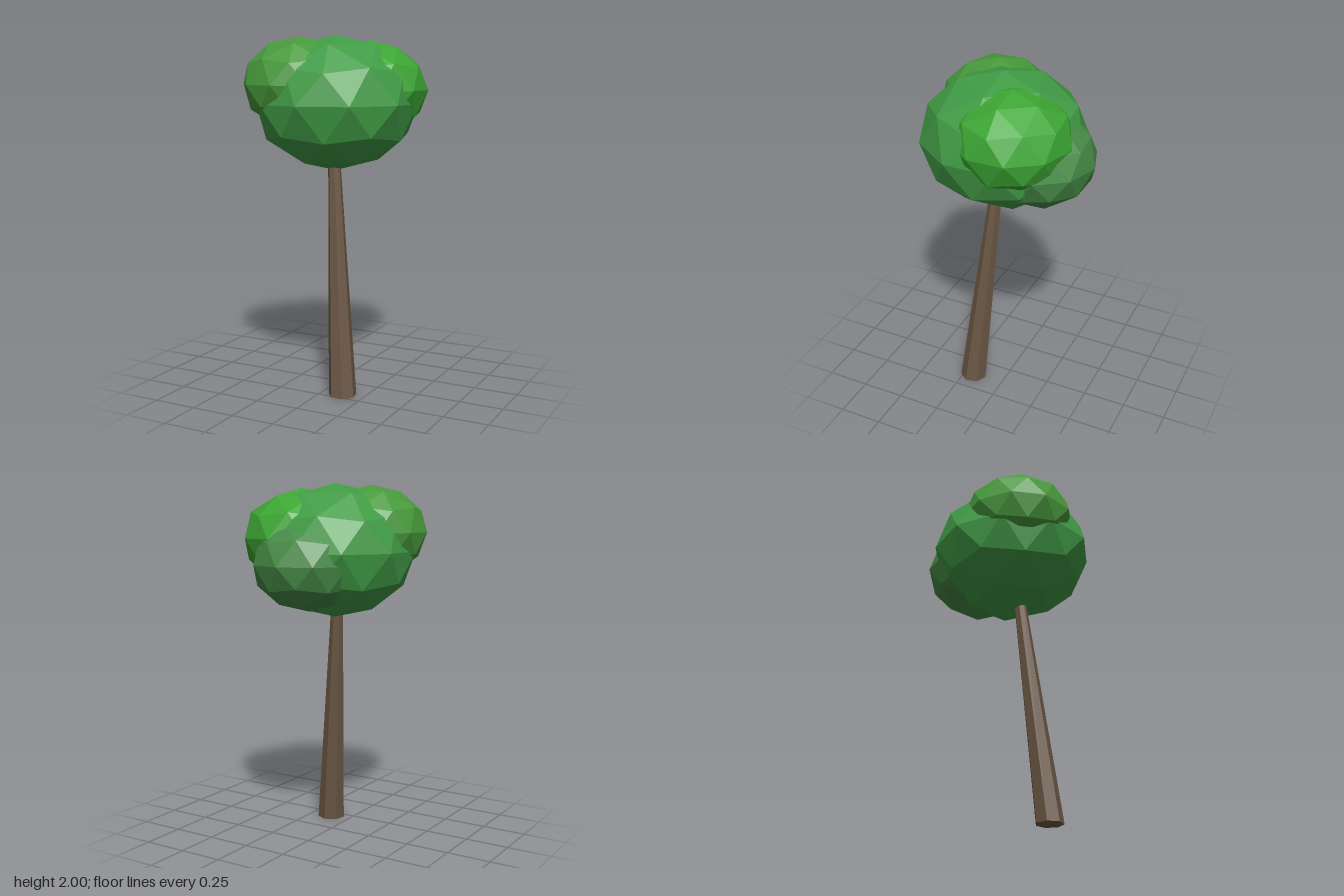
import * as THREE from 'three';

const material = (color) => new THREE.MeshStandardMaterial({ color, flatShading: true });

// Low-poly foliage clump: an icosphere with a vertex at each pole, slightly flattened
function foliage(name, color, radius, x, y, z) {
  const geometry = new THREE.IcosahedronGeometry(1, 1);
  geometry.rotateZ(-Math.atan(2 / (1 + Math.sqrt(5))));
  geometry.scale(radius, radius * 0.815, radius);
  geometry.computeVertexNormals();
  const mesh = new THREE.Mesh(geometry, material(color));
  mesh.name = name;
  mesh.position.set(x, y, z);
  return mesh;
}

// Tapered seven-sided trunk, sheared so it leans while its base stays level
function trunk() {
  const height = 1.4;
  const geometry = new THREE.CylinderGeometry(0.032, 0.0795, height, 7, 1, false, Math.PI);
  geometry.translate(0, height / 2, 0);
  const shear = new THREE.Matrix4().set(
    1, -0.085, 0, 0.1225,
    0, 1, 0, 0,
    0, -0.088, 1, 0.193,
    0, 0, 0, 1,
  );
  geometry.applyMatrix4(shear);
  geometry.computeVertexNormals();
  const mesh = new THREE.Mesh(geometry, material(0x6b5744));
  mesh.name = 'trunk';
  return mesh;
}

export function createModel() {
  const tree = new THREE.Group();
  tree.name = 'tree';
  tree.add(
    trunk(),
    foliage('mainFoliage', 0x419c46, 0.46, 0.0, 1.625, 0.035),
    foliage('frontRightFoliage', 0x489a3c, 0.32, -0.165, 1.73, 0.15),
    foliage('leftFoliage', 0x3ca633, 0.335, 0.145, 1.698, -0.078),
    foliage('backFoliage', 0x468a46, 0.323, 0.03, 1.56, -0.177),
  );
  return tree;
}
